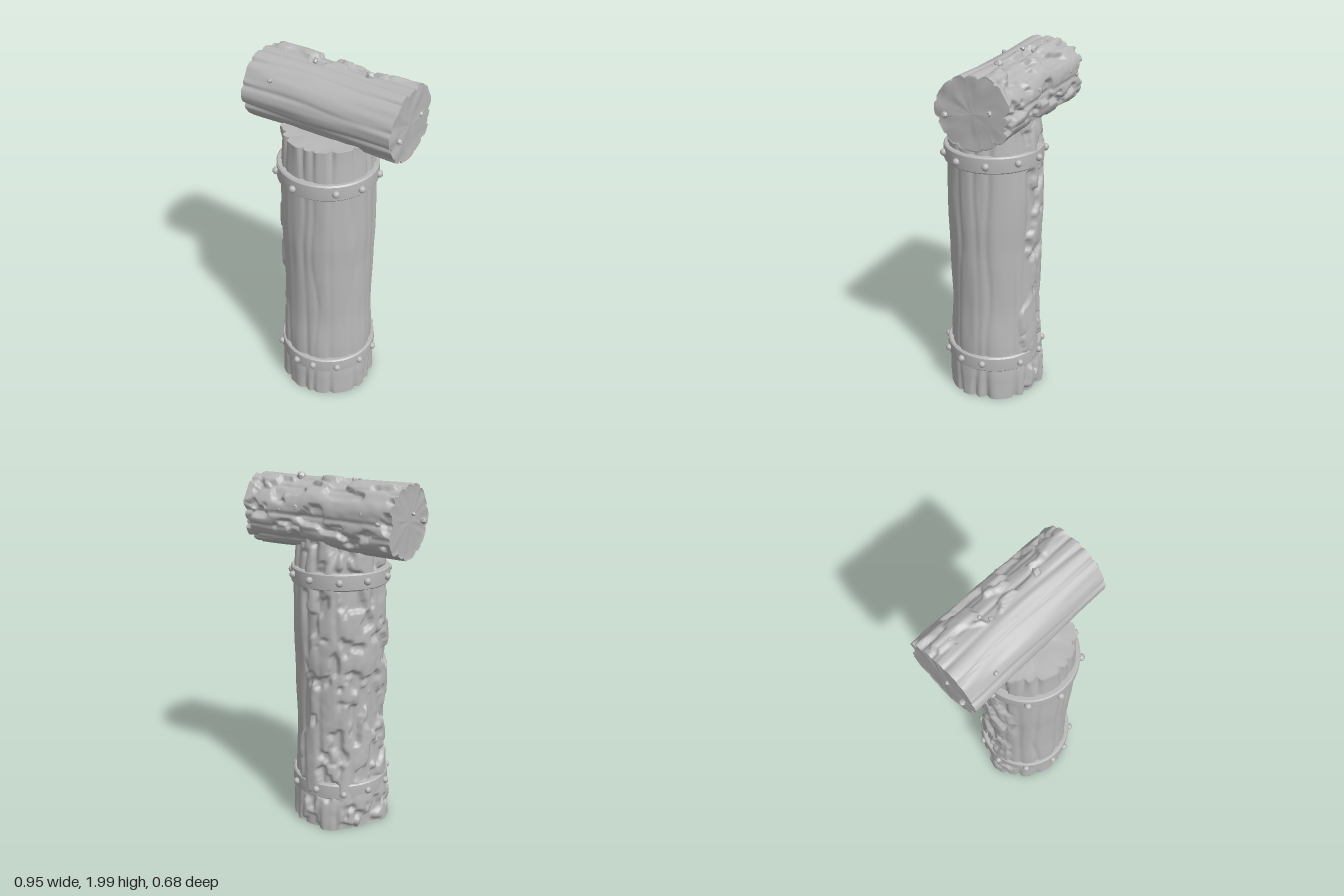
import * as THREE from 'three';
import { toCreasedNormals } from 'three/addons/utils/BufferGeometryUtils.js';

const TAU = Math.PI * 2;
const stone = new THREE.MeshStandardMaterial({ color: 0xb8b8b8 });
stone.name = 'plain grey';

// Seeded hash and smooth value noise, periodic in the angle
function hash(i, j, seed) {
  const s = Math.sin(i * 127.1 + j * 311.7 + seed * 74.7) * 43758.5453;
  return s - Math.floor(s);
}
function noise(a, v, n, seed) {
  const u = ((a / TAU) % 1 + 1) % 1 * n;
  const i = Math.floor(u), j = Math.floor(v);
  const sm = t => t * t * (3 - 2 * t);
  const fu = sm(u - i), fv = sm(v - j);
  const h = (p, q) => hash(p % n, q, seed);
  return THREE.MathUtils.lerp(
    THREE.MathUtils.lerp(h(i, j), h(i + 1, j), fu),
    THREE.MathUtils.lerp(h(i, j + 1), h(i + 1, j + 1), fu), fv);
}
function angleGap(a, b) {
  return Math.abs(((a - b + Math.PI) % TAU + TAU) % TAU - Math.PI);
}

// Radius read off a short list of [height, radius] pairs
function profileRadius(profile, y) {
  let k = 0;
  while (k < profile.length - 2 && y > profile[k + 1][0]) k++;
  const [y0, r0] = profile[k], [y1, r1] = profile[k + 1];
  return r0 + (r1 - r0) * THREE.MathUtils.smoothstep(y, y0, y1);
}

// Weathered log along +y: long splits, soft grain and a raised patch of bark
function logGeometry({ length, profile, splits, barkAngle, barkWidth, barkDepth, endDepth, seed, rows }) {
  const cols = 144, pos = [], idx = [];
  const cracks = Array.from({ length: splits }, (_, k) => ({
    a: (k + 0.65 * hash(k, 1, seed)) / splits * TAU,
    depth: 0.006 + 0.008 * hash(k, 2, seed),
    width: 0.035 + 0.03 * hash(k, 3, seed),
  }));
  const radius = (a, y) => {
    let r = profileRadius(profile, y);
    r += (noise(a, y * 2.2, 12, seed) - 0.5) * 0.016;
    r += (noise(a, y * 4, 40, seed + 1) - 0.5) * 0.006;
    const end = Math.exp(-Math.min(y, length - y) / 0.09);
    for (const [k, c] of cracks.entries()) {
      const d = angleGap(a, c.a + (noise(0, y * 3 + k * 17, 5, seed + 2) - 0.5) * 0.14) / c.width;
      const fade = 0.25 + 0.75 * noise(1, y * 2.5 + k * 9, 5, seed + 3);
      r -= Math.exp(-d * d) * (c.depth * fade + endDepth * end);
    }
    const patch = angleGap(a, barkAngle) + (noise(a, y * 6, 20, seed + 4) - 0.5) * 0.5;
    const inBark = 1 - THREE.MathUtils.smoothstep(patch, barkWidth - 0.05, barkWidth + 0.05);
    if (inBark > 0) {
      const plates = 0.65 * noise(a, y * 9, 26, seed + 5) + 0.35 * noise(a, y * 22, 52, seed + 6);
      r += inBark * barkDepth * (THREE.MathUtils.smoothstep(plates, 0.4, 0.52) - 0.35 + 0.5 * (plates - 0.5));
    }
    return r;
  };
  // Side wall
  for (let j = 0; j <= rows; j++) {
    const y = length * j / rows;
    for (let i = 0; i < cols; i++) {
      const a = i / cols * TAU, r = radius(a, y);
      pos.push(Math.sin(a) * r, y, Math.cos(a) * r);
    }
  }
  const quad = (a, b, c, d) => idx.push(a, b, c, a, c, d);
  for (let j = 0; j < rows; j++) for (let i = 0; i < cols; i++) {
    const n = (i + 1) % cols, p = j * cols, q = p + cols;
    quad(p + i, p + n, q + n, q + i);
  }
  // Slightly uneven cut ends
  for (const top of [false, true]) {
    const start = pos.length / 3, y = top ? length : 0;
    const rings = [1, 0.95, 0.75, 0.5, 0.25, 0.001];
    rings.forEach((s, k) => {
      for (let i = 0; i < cols; i++) {
        const a = i / cols * TAU, r = radius(a, y) * s;
        const dent = k === 0 ? 0 : 0.014 * s * (noise(a, k, 16, seed + 7) - 0.5);
        pos.push(Math.sin(a) * r, y + (top ? -dent : Math.abs(dent)), Math.cos(a) * r);
      }
    });
    for (let k = 0; k < rings.length - 1; k++) for (let i = 0; i < cols; i++) {
      const n = (i + 1) % cols, p = start + k * cols, q = p + cols;
      if (top) quad(p + i, p + n, q + n, q + i);
      else quad(p + i, q + i, q + n, p + n);
    }
  }
  const g = new THREE.BufferGeometry();
  g.setAttribute('position', new THREE.Float32BufferAttribute(pos, 3));
  g.setIndex(idx);
  g.computeVertexNormals();
  return g;
}

function add(parent, geometry, name, x = 0, y = 0, z = 0) {
  const m = new THREE.Mesh(geometry, stone);
  m.name = name;
  m.position.set(x, y, z);
  parent.add(m);
  return m;
}

// Strap with softened edges and a ring of studs
function band(name, y, inner, outer, height, studs) {
  const g = new THREE.Group();
  g.name = name;
  const h = height / 2, e = 0.007;
  const pts = [[inner, -h], [outer - e, -h], [outer, -h + e], [outer + 0.002, 0], [outer, h - e],
    [outer - e, h], [inner, h], [inner, -h]].map(p => new THREE.Vector2(...p));
  add(g, toCreasedNormals(new THREE.LatheGeometry(pts, 72), 0.6), 'strap');
  const ball = new THREE.SphereGeometry(0.02, 10, 8);
  studs.forEach((deg, k) => {
    const a = THREE.MathUtils.degToRad(deg);
    add(g, ball, 'stud', Math.sin(a) * (outer + 0.006), (hash(k, 4, y) - 0.5) * 0.02, Math.cos(a) * (outer + 0.006));
  });
  g.position.y = y;
  return g;
}

export function createModel() {
  const model = new THREE.Group();
  model.name = 'wooden post with crossbeam';

  // Upright post with its two straps
  const post = new THREE.Group();
  post.name = 'post';
  post.position.set(0.012, 0, 0.038);
  add(post, logGeometry({
    length: 1.675, rows: 190, splits: 15, seed: 3, endDepth: 0.016,
    profile: [[0, 0.272], [0.12, 0.27], [0.3, 0.258], [0.6, 0.246], [0.9, 0.248], [1.1, 0.253], [1.4, 0.25], [1.675, 0.236]],
    barkAngle: Math.PI * 1.2, barkWidth: 1.15, barkDepth: 0.022,
  }), 'postLog');
  post.add(band('lowerBand', 0.238, 0.24, 0.275, 0.092, [-54, -17, 5, 34, 64, 92, 138, 172, 205, 235, 268]));
  post.add(band('upperBand', 1.455, 0.232, 0.269, 0.092, [-54, -17, 32, 62, 98, 134, 165, 200, 232, 266]));
  model.add(post);

  // Crossbeam lying on the post, turned slightly
  const beam = new THREE.Group();
  beam.name = 'crossbeam';
  beam.position.set(0.008, 1.785, -0.055);
  beam.rotation.y = -0.172;
  const log = add(beam, logGeometry({
    length: 0.875, rows: 110, splits: 12, seed: 8, endDepth: 0.007,
    profile: [[0, 0.203], [0.3, 0.197], [0.6, 0.194], [0.875, 0.196]],
    barkAngle: Math.PI * 1.1, barkWidth: 1.05, barkDepth: 0.022,
  }), 'beamLog', -0.4375);
  log.rotation.z = -Math.PI / 2;
  log.scale.set(0.96, 1, 1.02);
  model.add(beam);

  // Small knots and chips on the beam: x, y, z, size
  const chip = new THREE.IcosahedronGeometry(1, 0);
  const chips = [
    [-0.3, 1.965, -0.17, 0.017], [-0.3, 1.965, -0.13, 0.012], [-0.11, 1.972, -0.08, 0.014],
    [0.2, 1.97, -0.045, 0.026], [-0.29, 1.9, 0.075, 0.014], [-0.457, 1.77, 0, 0.018],
    [-0.432, 1.82, -0.1, 0.013], [0.433, 1.765, 0.155, 0.018], [0.457, 1.8, -0.08, 0.015],
    [-0.32, 1.8, -0.323, 0.016], [-0.23, 1.84, -0.305, 0.016], [0.15, 1.84, -0.235, 0.018],
    [0.25, 1.82, -0.22, 0.014], [-0.13, 1.96, -0.13, 0.012],
  ];
  chips.forEach(([x, y, z, s], k) => {
    const m = add(model, chip, 'chip', x, y, z);
    m.scale.setScalar(s);
    m.rotation.set(k, k * 2.1, 0);
  });
  return model;
}
